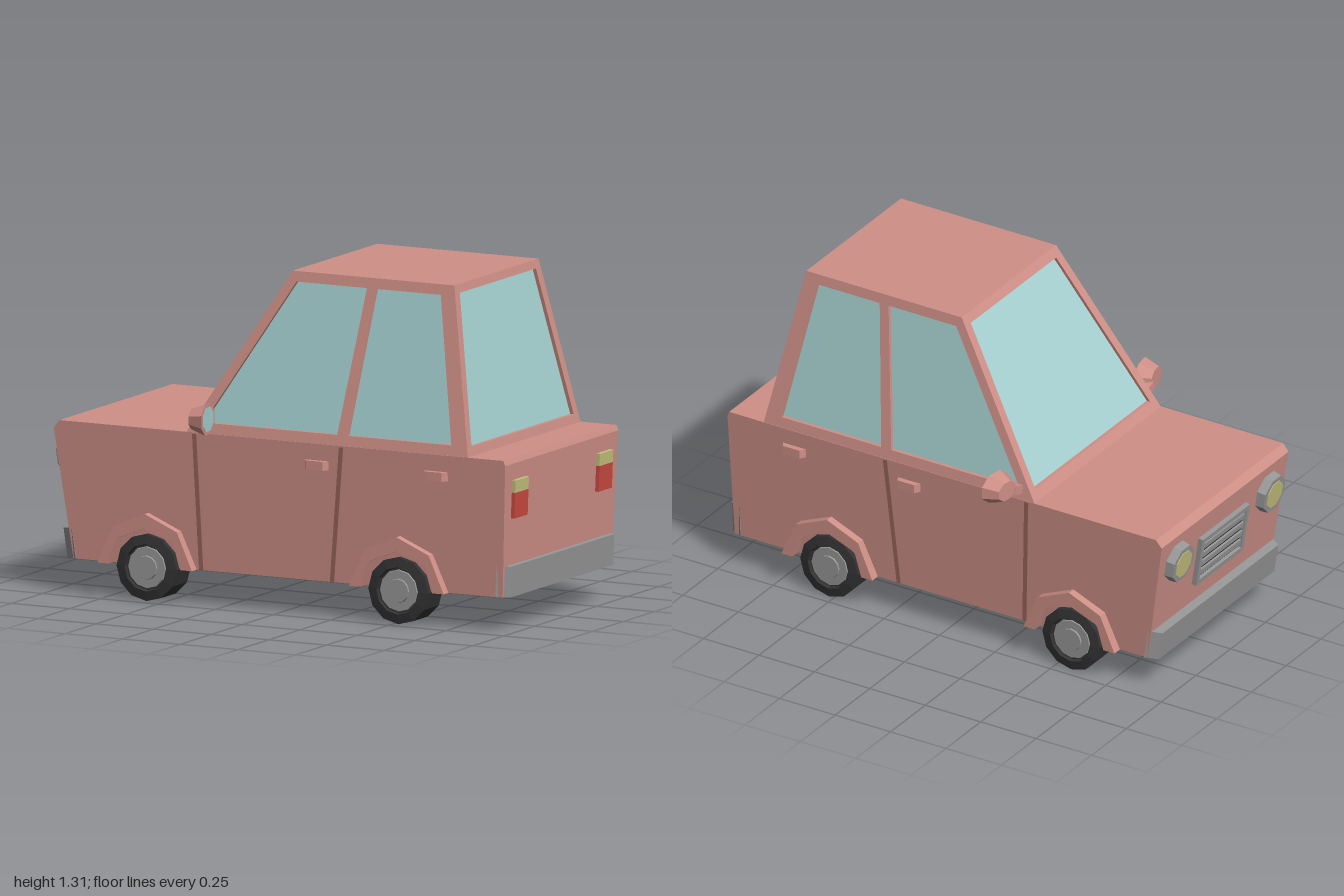
import * as THREE from 'three';

const BODY = 0xcf9087, GROOVE = 0x9c665e, GLASS = 0xa6d0d0, GREY = 0x979797;
const DARK = 0x333333, RED = 0xcc4a40, YELLOW = 0xc6c27e;
const BASE = 0.67, ROOF = 1.31, SILL = 0.135;

// Planes of the shell as functions of height
const rise = (y) => (y - BASE) / (ROOF - BASE);
const cabinFront = (y) => -0.4 + 0.4 * rise(y);
const cabinRear = (y) => 0.82 - 0.12 * rise(y);
const cabinSide = (y) => 0.455 - 0.115 * rise(y);
const bodySide = (y) => 0.437 + 0.02 * (y - SILL) / (BASE - SILL);
const bodyFront = (y) => -0.9 - 0.149 * (y - SILL);
const bodyRear = (y) => 0.962 + 0.04 * (y - SILL);
const FRONT_TILT = 0.148, REAR_TILT = -0.04;

const toShape = (pts) => new THREE.Shape(pts.map(([x, y]) => new THREE.Vector2(x, y)));

// Move every vertex by a rule
function warp(geo, rule) {
  const p = geo.attributes.position, v = new THREE.Vector3();
  for (let i = 0; i < p.count; i++) {
    rule(v.fromBufferAttribute(p, i));
    p.setXYZ(i, v.x, v.y, v.z);
  }
  geo.computeVertexNormals();
  return geo;
}

// Flat plate with holes whose outer face lies on z = 0
function plate(outline, holes, depth) {
  const shape = toShape(outline);
  holes.forEach((h) => shape.holes.push(toShape(h)));
  return new THREE.ExtrudeGeometry(shape, { depth, bevelEnabled: false }).translate(0, 0, -depth);
}

// Box between two heights following the cabin planes, pulled in by an inset
function cabinBlock(y0, y1, inset) {
  return warp(new THREE.BoxGeometry(1, 1, 1), (v) => {
    v.y = v.y > 0 ? y1 : y0;
    v.x = v.x > 0 ? cabinRear(v.y) - inset : cabinFront(v.y) + inset;
    v.z = Math.sign(v.z) * (cabinSide(v.y) - inset);
  });
}

// Mirrored copy across the centre line with corrected winding
function mirrored(geo) {
  const g = geo.index ? geo.toNonIndexed() : geo.clone();
  const p = g.attributes.position, a = new THREE.Vector3(), b = new THREE.Vector3();
  g.scale(1, 1, -1);
  for (let i = 0; i < p.count; i += 3) {
    a.fromBufferAttribute(p, i + 1);
    b.fromBufferAttribute(p, i + 2);
    p.setXYZ(i + 1, b.x, b.y, b.z);
    p.setXYZ(i + 2, a.x, a.y, a.z);
  }
  g.computeVertexNormals();
  return g;
}

export function createModel() {
  const car = new THREE.Group();
  car.name = 'car';
  const mats = {};
  const add = (name, geo, color) => {
    mats[color] ??= new THREE.MeshStandardMaterial({ color, flatShading: true });
    const mesh = new THREE.Mesh(geo, mats[color]);
    mesh.name = name;
    car.add(mesh);
  };
  const pair = (name, geo, color) => {
    add(name + 'Left', geo, color);
    add(name + 'Right', mirrored(geo), color);
  };
  const onFront = (geo, y, z) => geo.rotateZ(FRONT_TILT).translate(bodyFront(y), y, z);
  const onRear = (geo, y, z) => geo.rotateZ(REAR_TILT).translate(bodyRear(y), y, z);

  // Lower body: side profile, narrowing towards the sill
  const profile = [[-0.9, SILL], [0.962, SILL], [0.983, 0.65], [0.975, BASE], [-0.95, BASE], [-0.975, 0.64]];
  add('body', warp(plate(profile, [], 1), (v) => {
    v.z = (v.z < -0.5 ? -1 : 1) * bodySide(v.y);
  }), BODY);

  // Cabin: glass core, roof and four window frames
  add('windows', cabinBlock(BASE, ROOF - 0.02, 0.015), GLASS);
  add('roof', cabinBlock(ROOF - 0.03, ROOF, 0), BODY);
  const sideOutline = [[-0.4, BASE], [0.82, BASE], [0.7, ROOF], [0, ROOF]];
  const sideWindows = [
    [[-0.33, 0.71], [0.25, 0.71], [0.325, 1.27], [0.02, 1.27]],
    [[0.295, 0.71], [0.745, 0.71], [0.645, 1.27], [0.365, 1.27]],
  ];
  pair('sideFrame', warp(plate(sideOutline, sideWindows, 0.03), (v) => { v.z += cabinSide(v.y); }), BODY);
  const endOutline = [[-0.455, BASE], [0.455, BASE], [0.34, ROOF], [-0.34, ROOF]];
  const endWindow = [[-0.412, 0.705], [0.412, 0.705], [0.307, 1.277], [-0.307, 1.277]];
  add('windscreenFrame', warp(plate(endOutline, [endWindow], 0.03).rotateY(-Math.PI / 2),
    (v) => { v.x += cabinFront(v.y); }), BODY);
  add('rearWindowFrame', warp(plate(endOutline, [endWindow], 0.03).rotateY(Math.PI / 2),
    (v) => { v.x += cabinRear(v.y); }), BODY);

  // Door seams
  for (const [name, top, bottom] of [['frontDoorSeam', -0.365, -0.345], ['rearDoorSeam', 0.272, 0.222]]) {
    const seam = plate([[bottom - 0.009, SILL], [bottom + 0.009, SILL], [top + 0.009, 0.665], [top - 0.009, 0.665]], [], 0.01);
    pair(name, warp(seam, (v) => { v.z += bodySide(v.y) + 0.002; }), GROOVE);
  }

  // Door handles, tapered outwards
  for (const [name, x] of [['frontHandle', 0.165], ['rearHandle', 0.682]]) {
    pair(name, warp(new THREE.BoxGeometry(0.115, 0.035, 0.035), (v) => {
      if (v.z > 0) v.x *= 0.65;
    }).translate(x, 0.588, 0.46), BODY);
  }

  // Wheels and wheel arches
  const wheelProfile = [[0, 0], [0.13, 0], [0.13, 0.118], [0.092, 0.125], [0.088, 0.112], [0, 0.112]];
  const arch = [
    [0.155, SILL], [0.205, SILL], [0.14, 0.28], [0, 0.34], [-0.14, 0.28], [-0.205, SILL],
    [-0.155, SILL], [-0.125, 0.235], [0, 0.285], [0.125, 0.235],
  ];
  for (const [name, x] of [['front', -0.57], ['rear', 0.522]]) {
    const place = (geo, z) => geo.rotateX(Math.PI / 2).translate(x, 0.13, z);
    const tyre = new THREE.LatheGeometry(wheelProfile.map(([r, h]) => new THREE.Vector2(r, h)), 12);
    pair(name + 'Tyre', place(tyre, 0.343), DARK);
    pair(name + 'Rim', place(new THREE.CylinderGeometry(0.08, 0.088, 0.02, 12), 0.45), GREY);
    pair(name + 'HubCap', place(new THREE.CylinderGeometry(0.045, 0.052, 0.02, 12), 0.456), GREY);
    pair(name + 'WheelArch', plate(arch, [], 0.06).translate(x, 0, 0.477), BODY);
  }

  // Bumpers with chamfered ends
  const bumper = (dir) => warp(new THREE.BoxGeometry(0.05, 0.12, 0.885), (v) => {
    if (v.x * dir > 0) v.z *= 0.94;
  });
  add('frontBumper', onFront(bumper(-1).translate(-0.012, 0, 0), 0.193, 0), GREY);
  add('rearBumper', onRear(bumper(1).translate(-0.004, 0, 0), 0.195, 0), GREY);

  // Tail lights
  pair('tailLight', onRear(new THREE.BoxGeometry(0.03, 0.1, 0.108), 0.488, 0.34), RED);
  pair('reverseLight', onRear(new THREE.BoxGeometry(0.03, 0.048, 0.108), 0.562, 0.34), YELLOW);

  // Octagonal headlights
  const octagon = (rFront, rBack, depth) =>
    new THREE.CylinderGeometry(rBack, rFront, depth, 8).rotateY(Math.PI / 8).rotateZ(-Math.PI / 2);
  pair('headlightRing', onFront(octagon(0.078, 0.088, 0.07), 0.525, 0.327), GREY);
  pair('headlightLens', onFront(octagon(0.058, 0.058, 0.075), 0.525, 0.327), YELLOW);

  // Grille: frame, dark backing and slats
  const rect = (w, h) => [[-w, -h], [w, -h], [w, h], [-w, h]];
  const frame = plate(rect(0.17, 0.105), [rect(0.15, 0.085)], 0.04).rotateY(-Math.PI / 2);
  add('grilleFrame', onFront(frame.translate(-0.02, 0, 0), 0.445, 0), GREY);
  add('grilleBacking', onFront(new THREE.BoxGeometry(0.012, 0.18, 0.31), 0.445, 0), DARK);
  for (let i = 0; i < 4; i++) {
    const slat = new THREE.BoxGeometry(0.03, 0.022, 0.31).translate(0, -0.06 + i * 0.04, 0);
    add('grilleSlat', onFront(slat, 0.445, 0), GREY);
  }

  // Wing mirrors
  const placeMirror = (geo) => geo.scale(1, 0.78, 1).rotateY(0.15).translate(-0.298, 0.74, 0.533);
  pair('mirrorShell', placeMirror(octagon(0.052, 0.082, 0.062)), BODY);
  pair('mirrorGlass', placeMirror(octagon(0.06, 0.064, 0.01).translate(0.028, 0, 0)), GLASS);
  pair('mirrorArm', new THREE.BoxGeometry(0.05, 0.035, 0.08).rotateX(-0.3).translate(-0.318, 0.715, 0.46), BODY);

  return car;
}
